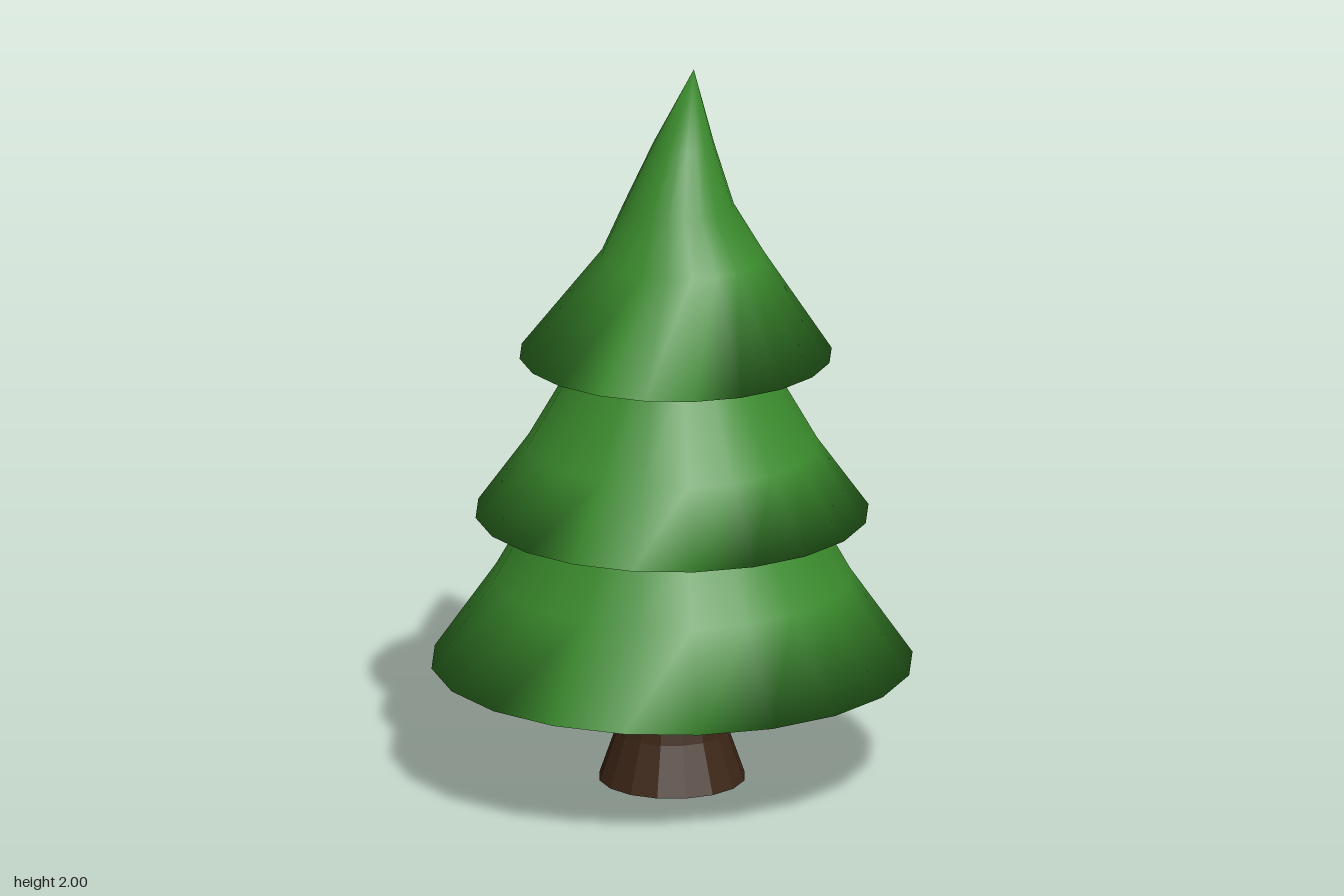
import * as THREE from 'three';

const SIDES = 20;

// Smooth closed cone from rings [y, radius, x, z] (bottom first), a flat underside and one tip point
function loftTier(rings, tip) {
  const pos = [], idx = [];
  for (const [y, r, cx = 0, cz = 0] of rings) {
    for (let i = 0; i < SIDES; i++) {
      const t = (i / SIDES) * Math.PI * 2;
      pos.push(cx + r * Math.sin(t), y, cz + r * Math.cos(t));
    }
  }
  const tipIndex = pos.length / 3;
  pos.push(...tip);

  // slopes
  rings.forEach((_, k) => {
    for (let i = 0; i < SIDES; i++) {
      const j = (i + 1) % SIDES;
      const a = k * SIDES + i, b = k * SIDES + j;
      if (k === rings.length - 1) idx.push(a, b, tipIndex);
      else idx.push(a, b, b + SIDES, a, b + SIDES, a + SIDES);
    }
  });

  // underside, zigzagging across the rim
  for (let lo = 0, hi = SIDES - 1; hi - lo > 1; lo++, hi--) {
    idx.push(lo, hi, lo + 1);
    if (hi - 1 > lo + 1) idx.push(lo + 1, hi, hi - 1);
  }

  const geo = new THREE.BufferGeometry();
  geo.setAttribute('position', new THREE.Float32BufferAttribute(pos, 3));
  geo.setIndex(idx);
  geo.computeVertexNormals();
  return geo;
}

export function createModel() {
  const tree = new THREE.Group();
  tree.name = 'pineTree';
  const green = new THREE.MeshStandardMaterial({ color: 0x3a8a2c });
  const bark = new THREE.MeshStandardMaterial({ color: 0x3d2616, flatShading: true });

  const add = (name, geo, mat) => {
    const mesh = new THREE.Mesh(geo, mat);
    mesh.name = name;
    tree.add(mesh);
  };

  // Trunk flaring towards the ground, its top hidden in the foliage
  const profile = [[0, 0], [0.2, 0], [0.153, 0.135], [0.118, 0.33], [0.11, 0.42], [0, 0.42]]
    .map(([r, y]) => new THREE.Vector2(r, y));
  add('trunk', new THREE.LatheGeometry(profile, 16), bark);

  // Foliage: each tier runs up inside the next, the top one leans to its tip
  add('lowerFoliage', loftTier(
    [[0.33, 0.655], [0.575, 0.485], [0.755, 0.385], [0.9, 0.3]], [0, 0.95, 0]), green);
  add('middleFoliage', loftTier(
    [[0.755, 0.535], [0.95, 0.395], [1.205, 0.25], [1.33, 0.18]], [0, 1.38, 0]), green);
  add('topFoliage', loftTier(
    [[1.205, 0.425, 0.01, 0], [1.49, 0.222, 0.03, 0.005], [1.63, 0.15, 0.02, 0.008],
      [1.8, 0.083, 0.03, -0.01]], [0.05, 2, -0.05]), green);

  return tree;
}
